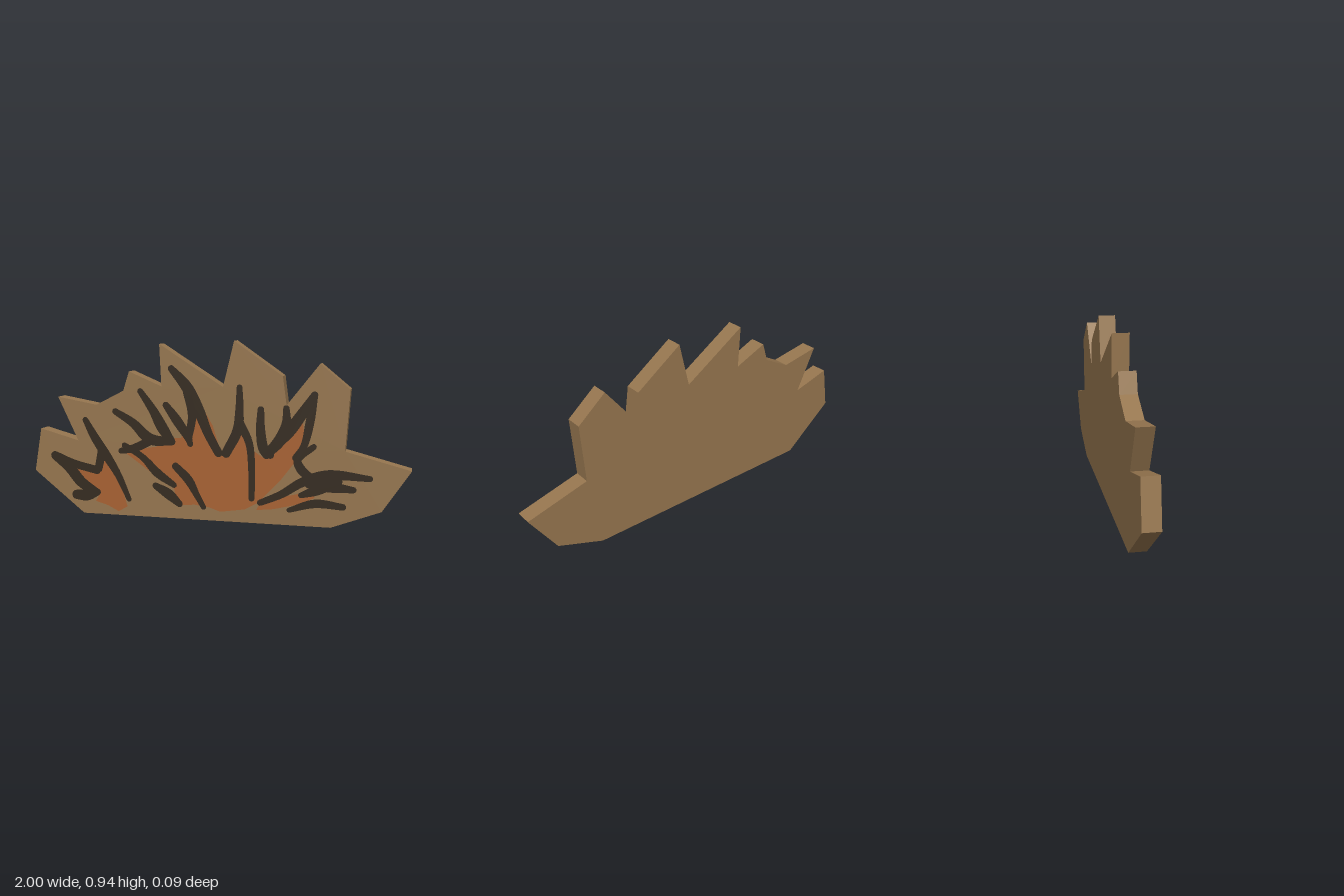
import * as THREE from 'three';

const DEPTH = 0.086;
const paint = (name, color) => {
  const m = new THREE.MeshStandardMaterial({ color });
  m.name = name;
  return m;
};
// Painted artwork is laid out in hundredths of a unit
const toShape = (pts, s = 0.01) => new THREE.Shape(pts.map(([x, y]) => new THREE.Vector2(x * s, y * s)));

// Brush stroke through [x, y, radius] points, with round ends
function brushStroke(pts) {
  const curve = new THREE.CatmullRomCurve3(pts.map(p => new THREE.Vector3(...p)), false, 'centripetal');
  const n = (pts.length - 1) * 5, left = [], right = [];
  const cap = (p, angle) => {
    const arc = [];
    for (let k = 1; k < 6; k++) {
      const a = angle - (k / 6) * Math.PI;
      arc.push([p.x + Math.cos(a) * p.z, p.y + Math.sin(a) * p.z]);
    }
    return arc;
  };
  let startAngle, endAngle, start, end;
  for (let i = 0; i <= n; i++) {
    const p = curve.getPoint(i / n), t = curve.getTangent(i / n);
    const a = Math.atan2(t.y, t.x) + Math.PI / 2;
    const dx = Math.cos(a) * p.z, dy = Math.sin(a) * p.z;
    left.push([p.x + dx, p.y + dy]);
    right.unshift([p.x - dx, p.y - dy]);
    if (i === 0) { start = p; startAngle = a; }
    if (i === n) { end = p; endAngle = a; }
  }
  return toShape([...left, ...cap(end, endAngle), ...right, ...cap(start, startAngle + Math.PI)]);
}

export function createModel() {
  const group = new THREE.Group();
  const brown = paint('brown wood', 0x96764f);
  const orange = paint('ember orange', 0xa86233);
  const dark = paint('charcoal', 0x352b20);

  // Jagged board
  const outline = [
    [-0.72, 0], [0.61, 0], [0.86, 0.095], [1, 0.307], [0.675, 0.392], [0.695, 0.7], [0.545, 0.825],
    [0.38, 0.615], [0.36, 0.76], [0.11, 0.935], [0.053, 0.7], [-0.285, 0.916], [-0.275, 0.697],
    [-0.452, 0.772], [-0.485, 0.67], [-0.637, 0.592], [-0.855, 0.63], [-0.745, 0.397],
    [-0.96, 0.455], [-1, 0.224],
  ];
  const boardGeo = new THREE.ExtrudeGeometry(toShape(outline, 1), { depth: DEPTH, bevelEnabled: false });
  boardGeo.translate(0, 0, -DEPTH / 2);
  const board = new THREE.Mesh(boardGeo, brown);
  board.name = 'board';
  group.add(board);

  const addPaint = (name, shapes, material, lift) => {
    const mesh = new THREE.Mesh(new THREE.ShapeGeometry(shapes), material);
    mesh.position.z = DEPTH / 2 + lift;
    mesh.name = name;
    group.add(mesh);
  };

  // Orange flame fills
  const smallFlame = [[-80, 26], [-66, 24], [-60, 30], [-55, 25], [-50, 15], [-47, 5], [-52, 2],
    [-58, 5], [-65, 7], [-62, 12], [-71, 18]];
  const largeFlame = [[-49, 35], [-30, 38], [-42, 47], [-32, 43], [-17, 43], [-7, 62], [0, 50], [4, 37],
    [12, 40], [15, 48], [18, 40], [27, 34], [39, 45], [46, 56], [48, 40], [42, 32], [36, 24], [24, 11],
    [17, 7], [4, 5], [-2, 7], [-10, 8], [-19, 7], [-21, 16], [-32, 23]];
  const lowFlame = [[23, 7], [25, 11], [38, 15], [50, 18], [53, 15], [44, 11], [32, 8]];
  addPaint('flameFill', [smallFlame, largeFlame, lowFlame].map(p => toShape(p)), orange, 0.002);

  // Dark flame outlines, left cluster
  const leftStrokes = [
    [[-88, 31, 2.4], [-80, 25, 3], [-73, 17, 3], [-65, 12, 2.4]],
    [[-88, 31, 2.4], [-77, 27, 2.2], [-64, 24, 2.2]],
    [[-76, 10, 2.6], [-70, 10, 3], [-64, 12, 2]],
    [[-70, 51, 1.6], [-65, 42, 2.4], [-59, 33, 2.6], [-52, 22, 2], [-46, 9, 1.4]],
    [[-61, 34, 2.4], [-63, 25, 2.2]],
  ];
  // Centre cluster
  const centreStrokes = [
    [[-53, 56, 1.7], [-43, 50, 2.4], [-34, 42, 3], [-22, 41, 2]],
    [[-39, 67, 1.6], [-32, 57, 2.4], [-27, 48, 3], [-22, 41, 2]],
    [[-50, 35, 1.6], [-42, 37, 2.2], [-32, 42, 2.4]],
    [[-48, 38, 1.6], [-38, 32, 1.8], [-30, 24, 2.4], [-21, 18, 1.6]],
    [[-22, 79, 1.8], [-14, 70, 3], [-8, 59, 3], [-2, 45, 2.4], [3, 36, 2.2]],
    [[-25, 60, 1.8], [-19, 52, 2.6], [-13, 43, 2], [-12, 40, 1.5]],
    [[-14, 68, 2], [-11, 55, 2.2], [-13, 43, 2]],
    [[-20, 28, 2], [-13, 21, 2.4], [-9, 14, 1.8], [-5, 7, 1.4]],
    [[-31, 17, 1.8], [-24, 13, 2.8], [-18, 8, 1.8]],
  ];
  // Right cluster
  const rightStrokes = [
    [[14, 70, 1.5], [14, 58, 2.2], [13, 48, 2.6], [7, 36, 2.4]],
    [[14, 52, 2.4], [19, 42, 2], [20.5, 28, 1.8], [20.5, 13, 1.6]],
    [[25, 59, 1.7], [25, 48, 2.4], [27, 38, 2.6], [30, 36, 2]],
    [[38, 60, 1.6], [38, 52, 2.4], [35, 44, 3], [28, 36, 2.2]],
    [[52, 67, 1.8], [47, 59, 2.6], [40, 49, 3], [34, 42, 2.4]],
    [[52, 66, 1.6], [50, 54, 2.2], [47, 41, 1.8], [43, 35, 1.8]],
    [[52, 41, 1.5], [44, 34, 2], [46, 29, 2.4], [51, 25, 2]],
    [[25, 11, 1.6], [36, 16, 2], [47, 23, 2.4], [60, 27, 2.6], [80, 26, 1.5]],
    [[50, 22, 2.4], [60, 21, 2.8], [72, 20, 1.6]],
    [[46, 16, 1.5], [54, 19, 2.6], [64, 24, 2.6]],
    [[40, 8, 1.3], [53, 12, 2.2], [67, 11, 1.7]],
  ];
  for (const [name, strokes] of [['leftFlameLines', leftStrokes], ['centreFlameLines', centreStrokes],
    ['rightFlameLines', rightStrokes]]) {
    addPaint(name, strokes.map(brushStroke), dark, 0.004);
  }
  return group;
}
